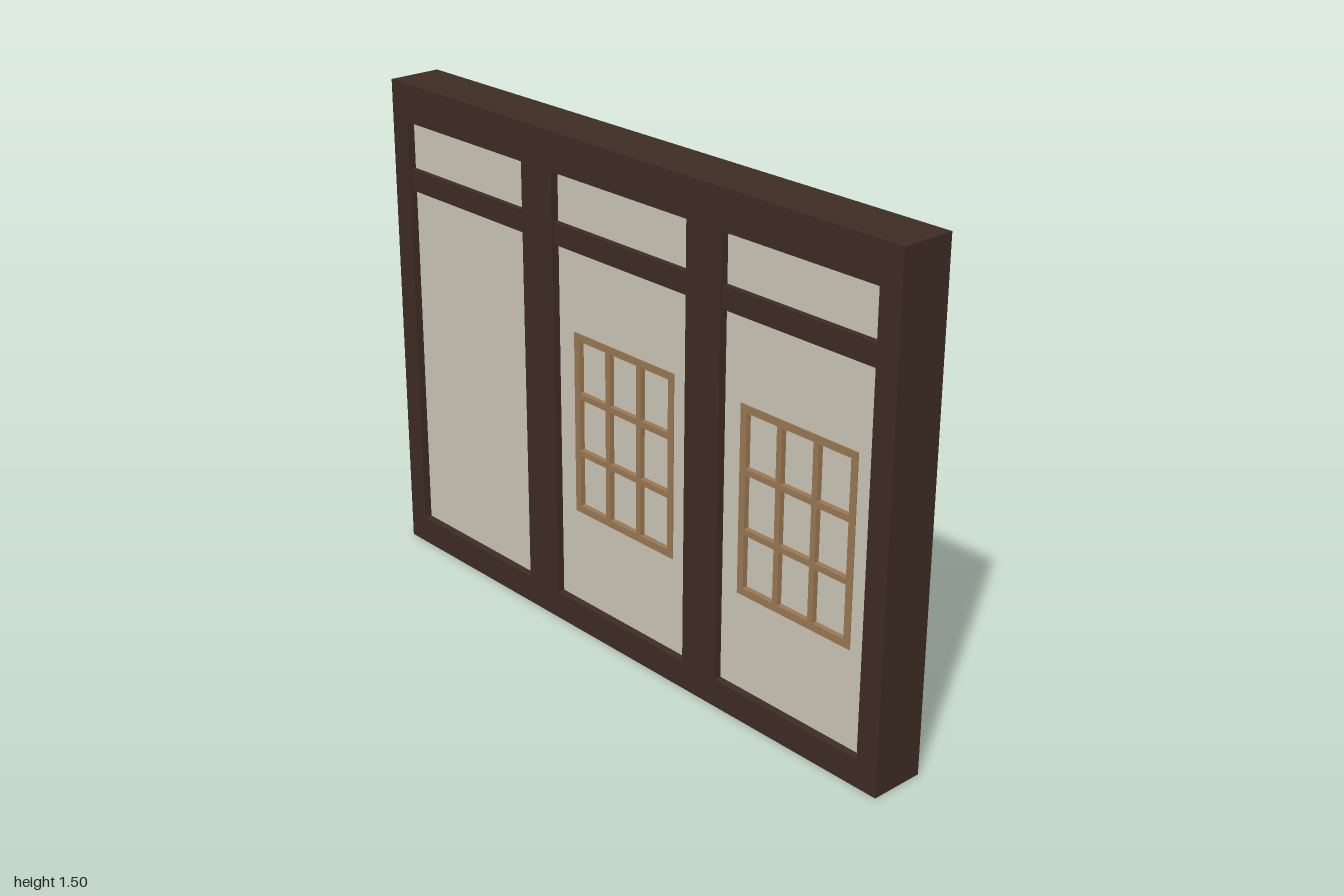
import * as THREE from 'three';

const wood = new THREE.MeshStandardMaterial({ name: 'dark wood', color: 0x3d2c23 });
const plaster = new THREE.MeshStandardMaterial({ name: 'plaster', color: 0xc8c4b5 });
const latticeWood = new THREE.MeshStandardMaterial({ name: 'lattice wood', color: 0x987652 });

const WIN_W = 0.41, WIN_Y0 = 0.375, WIN_Y1 = 0.93;
const BAYS = [[-0.93, -0.4], [-0.27, 0.27], [0.4, 0.93]];
const WINDOWS = [0, 0.665];

// Box given by its limits on each axis
function box(name, material, x0, x1, y0, y1, z0, z1) {
  const mesh = new THREE.Mesh(new THREE.BoxGeometry(x1 - x0, y1 - y0, z1 - z0), material);
  mesh.position.set((x0 + x1) / 2, (y0 + y1) / 2, (z0 + z1) / 2);
  mesh.name = name;
  return mesh;
}

function trace(path, x0, x1, y0, y1) {
  path.moveTo(x0, y0);
  path.lineTo(x1, y0);
  path.lineTo(x1, y1);
  path.lineTo(x0, y1);
  path.closePath();
  return path;
}

// Rectangular slab with rectangular holes, centred on z = 0
function slab(name, material, outer, holes, depth) {
  const shape = trace(new THREE.Shape(), ...outer);
  holes.forEach((h) => shape.holes.push(trace(new THREE.Path(), ...h)));
  const geometry = new THREE.ExtrudeGeometry(shape, { depth, bevelEnabled: false });
  geometry.translate(0, 0, -depth / 2);
  const mesh = new THREE.Mesh(geometry, material);
  mesh.name = name;
  return mesh;
}

function createWindow(cx) {
  const group = new THREE.Group();
  group.name = 'window';
  const half = WIN_W / 2, t = 0.022, bar = 0.018;

  // Lattice: border and a three by three grid
  const cells = [];
  const xs = [-half + t, half - t], ys = [WIN_Y0 + t, WIN_Y1 - t];
  const cw = (xs[1] - xs[0] - 2 * bar) / 3, ch = (ys[1] - ys[0] - 2 * bar) / 3;
  for (let i = 0; i < 3; i++) {
    for (let j = 0; j < 3; j++) {
      const x = xs[0] + i * (cw + bar), y = ys[0] + j * (ch + bar);
      cells.push([x, x + cw, y, y + ch]);
    }
  }
  const lattice = slab('lattice', latticeWood, [-half, half, WIN_Y0, WIN_Y1], cells, 0.016);
  lattice.position.z = 0.055;
  group.add(lattice);

  // Paper screen behind the lattice
  group.add(box('paperScreen', plaster, -half, half, WIN_Y0, WIN_Y1, 0.035, 0.047));

  // Upright slats on the back
  const pitch = WIN_W / 4, w = pitch / 2;
  for (let i = 0; i < 4; i++) {
    const x = -half + (i + 0.5) * pitch;
    group.add(box('slat', plaster, x - w / 2, x + w / 2, WIN_Y0, WIN_Y1, -0.06, 0.035));
  }
  group.position.x = cx;
  return group;
}

export function createModel() {
  const model = new THREE.Group();
  model.name = 'timberWall';

  // Posts, sill and top beam in one frame
  model.add(slab('timberFrame', wood, [-1, 1, 0, 1.5],
    BAYS.map(([a, b]) => [a, b, 0.085, 1.385]), 0.166));

  // Cross rails between the posts
  BAYS.forEach(([a, b]) => model.add(box('crossRail', wood, a, b, 1.175, 1.24, -0.077, 0.077)));

  // Plaster infill, pierced where a window sits
  BAYS.forEach(([a, b]) => {
    const holes = WINDOWS.filter((c) => c > a && c < b)
      .map((c) => [c - WIN_W / 2, c + WIN_W / 2, WIN_Y0, WIN_Y1]);
    model.add(slab('plasterPanel', plaster, [a, b, 0.085, 1.175], holes, 0.12));
    model.add(box('transomPanel', plaster, a, b, 1.24, 1.385, -0.06, 0.06));
  });

  WINDOWS.forEach((c) => model.add(createWindow(c)));
  return model;
}
